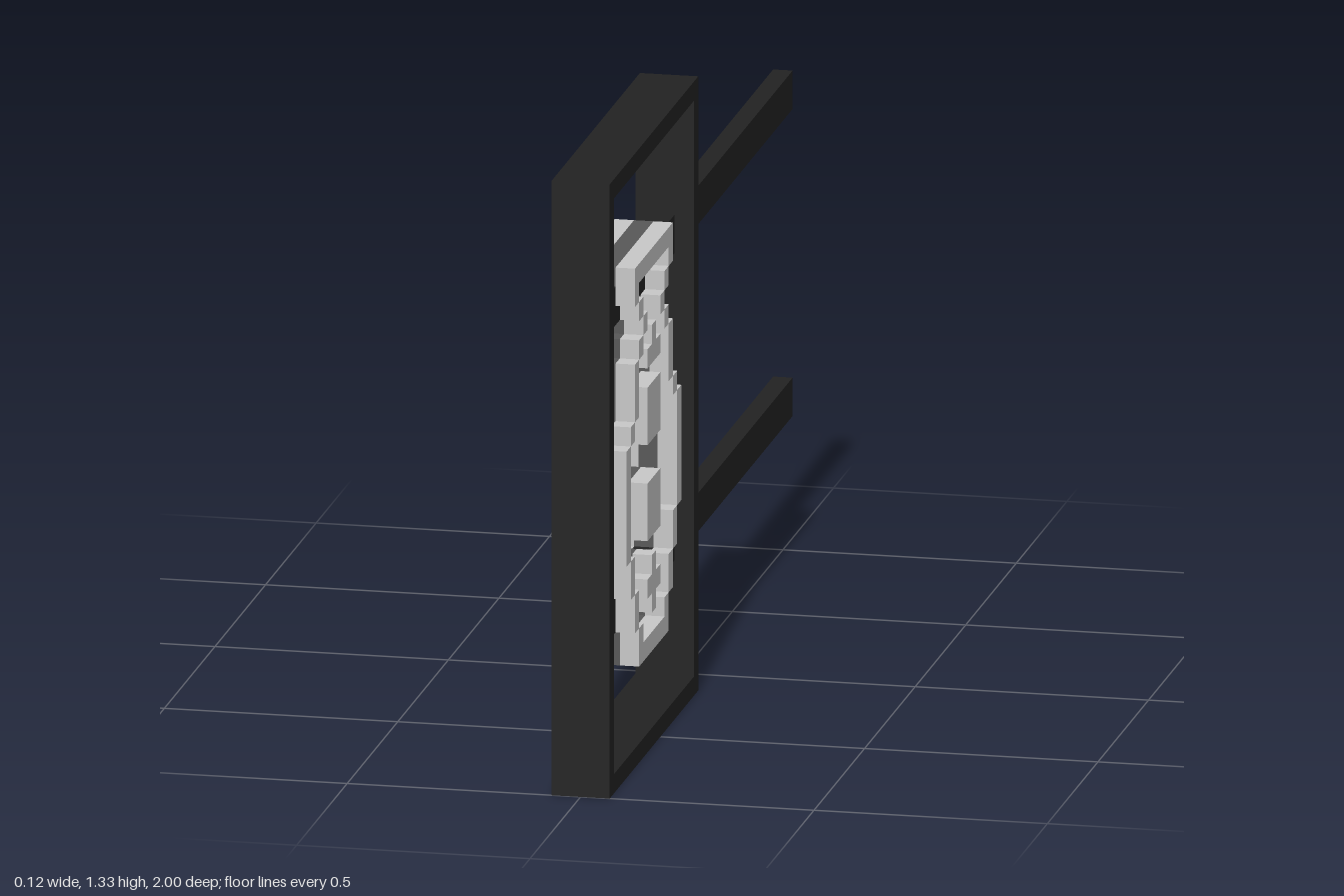
import * as THREE from 'three';

const U = 1 / 24; // size of one block

export function createModel() {
  const group = new THREE.Group();
  const mat = (name, color) => {
    const m = new THREE.MeshStandardMaterial({ color });
    m.name = name;
    return m;
  };
  const black = mat('black metal', 0x222222);
  const light = mat('light grey', 0xc8c8c8);
  const dark = mat('dark grey', 0x585858);

  // Box on the block grid: columns run from the front (+z) to the back, rows run up
  function block(parent, name, material, x0, x1, c0, c1, r0, r1) {
    const geo = new THREE.BoxGeometry((x1 - x0) * U, (r1 - r0) * U, (c1 - c0) * U);
    const mesh = new THREE.Mesh(geo, material);
    mesh.name = name;
    mesh.position.set((x0 + x1) / 2 * U, (r0 + r1) / 2 * U, 1 - (c0 + c1) / 2 * U);
    parent.add(mesh);
  }

  // Upright rectangular frame
  const frame = new THREE.Group();
  frame.name = 'frame';
  block(frame, 'frontPost', black, -1.5, 1.5, 0, 1, 0, 32);
  block(frame, 'backPost', black, -1.5, 1.5, 20, 21, 0, 32);
  block(frame, 'bottomRail', black, -1.5, 1.5, 1, 20, 0, 1);
  block(frame, 'topRail', black, -1.5, 1.5, 1, 20, 31, 32);
  group.add(frame);

  // Two long bars running through the frame to the back
  block(group, 'lowerBar', black, -0.5, 0.5, 0.5, 48, 7, 9);
  block(group, 'upperBar', black, -0.5, 0.5, 0.5, 48, 23, 25);

  // Ornament outline, front half: [column, bottom row, top row]
  const outline = [
    [6, 24, 25], [7, 23, 24], [8, 22, 23], [7, 21, 22], [6, 18, 21],
    [5, 17, 18], [4, 11, 17], [5, 9, 11], [6, 7, 9], [7, 6, 7],
  ];
  // Centred pieces: [first column, end column, bottom row, top row]
  const centre = [
    [6, 15, 25, 26], [7, 14, 5, 6],
    [10, 11, 21, 22], [9, 12, 20, 21],
    [9, 12, 16, 19], [9, 12, 11, 14],
    [10, 11, 9, 10], [9, 12, 8, 9], [10, 11, 7, 8],
  ];
  const cells = [...centre];
  for (const [c, r0, r1] of outline) {
    cells.push([c, c + 1, r0, r1], [20 - c, 21 - c, r0, r1]);
  }

  // Three layers: light on both sides, dark core between
  const layers = [
    ['ornamentRight', light, -1.5], ['ornamentCore', dark, -0.5], ['ornamentLeft', light, 0.5],
  ];
  for (const [name, material, x] of layers) {
    const layer = new THREE.Group();
    layer.name = name;
    for (const [c0, c1, r0, r1] of cells) {
      block(layer, 'ornamentBlock', material, x, x + 1, c0, c1, r0, r1);
    }
    group.add(layer);
  }
  return group;
}
